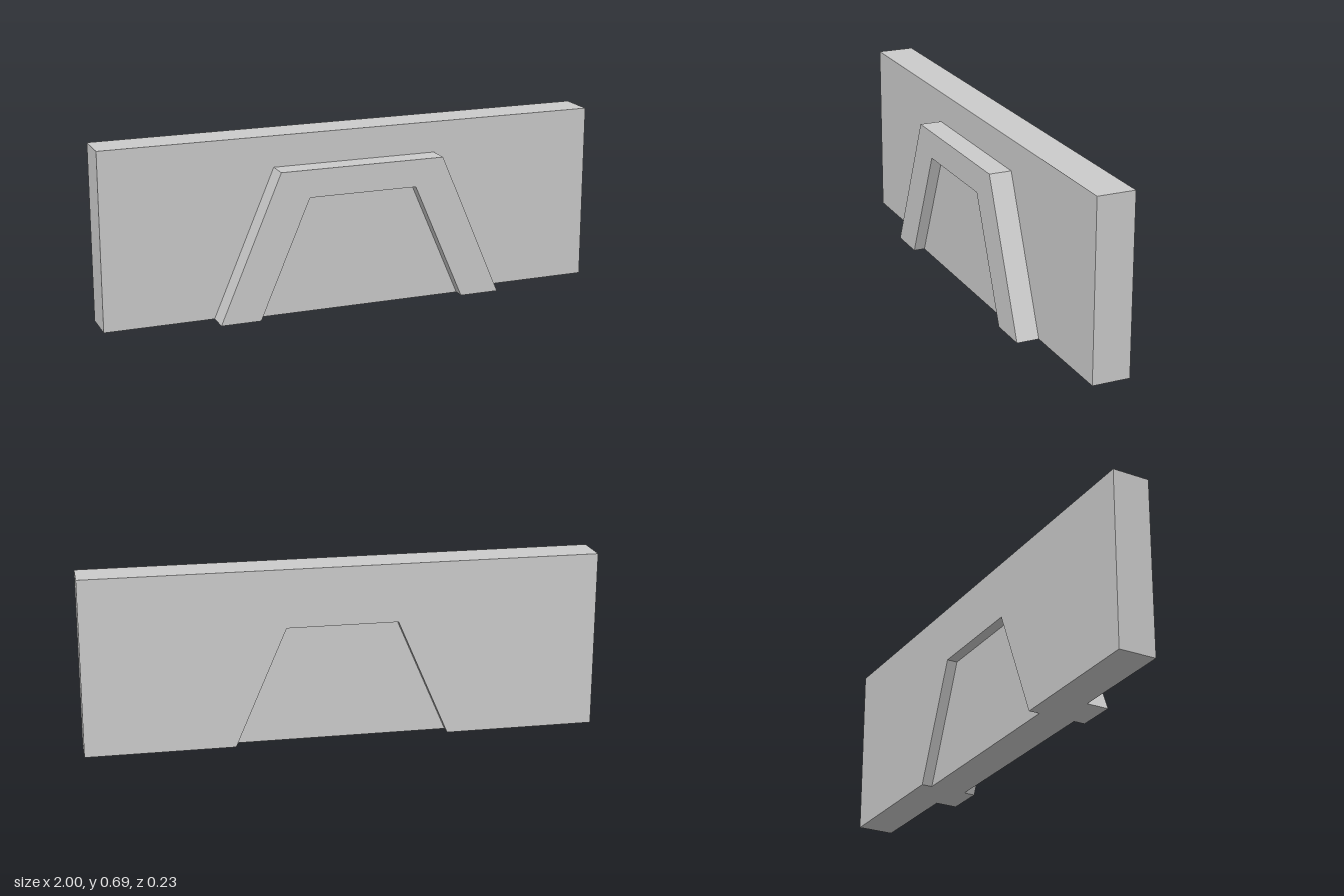
import * as THREE from 'three';

const material = new THREE.MeshStandardMaterial({ color: 0xcccccc, flatShading: true });

// Corners run from bottom left, over the top, to bottom right
const wallEdge = [[-1, 0], [-1, 0.695], [1, 0.695], [1, 0]];
const frameEdge = [[-0.57, 0], [-0.325, 0.573], [0.335, 0.573], [0.58, 0]];
const opening = [[-0.412, 0], [-0.212, 0.465], [0.222, 0.465], [0.422, 0]];

// Extrude an outline between two z positions
function slab(name, points, back, front) {
  const shape = new THREE.Shape(points.map(([x, y]) => new THREE.Vector2(x, y)));
  const geometry = new THREE.ExtrudeGeometry(shape, { depth: front - back, bevelEnabled: false });
  geometry.translate(0, 0, back);
  const mesh = new THREE.Mesh(geometry, material);
  mesh.name = name;
  return mesh;
}

export function createModel() {
  const group = new THREE.Group();
  group.name = 'wallWithArch';
  const notch = [...opening].reverse();

  // Wall with a trapezoid opening at its foot
  group.add(slab('wall', [...wallEdge, ...notch], -0.117, 0.03));
  // Raised surround on the front of the opening
  group.add(slab('archFrame', [...frameEdge, ...notch], 0.03, 0.118));
  // Door panel, set forward so that it is recessed on both sides
  group.add(slab('doorPanel', opening, -0.074, 0.073));

  return group;
}
